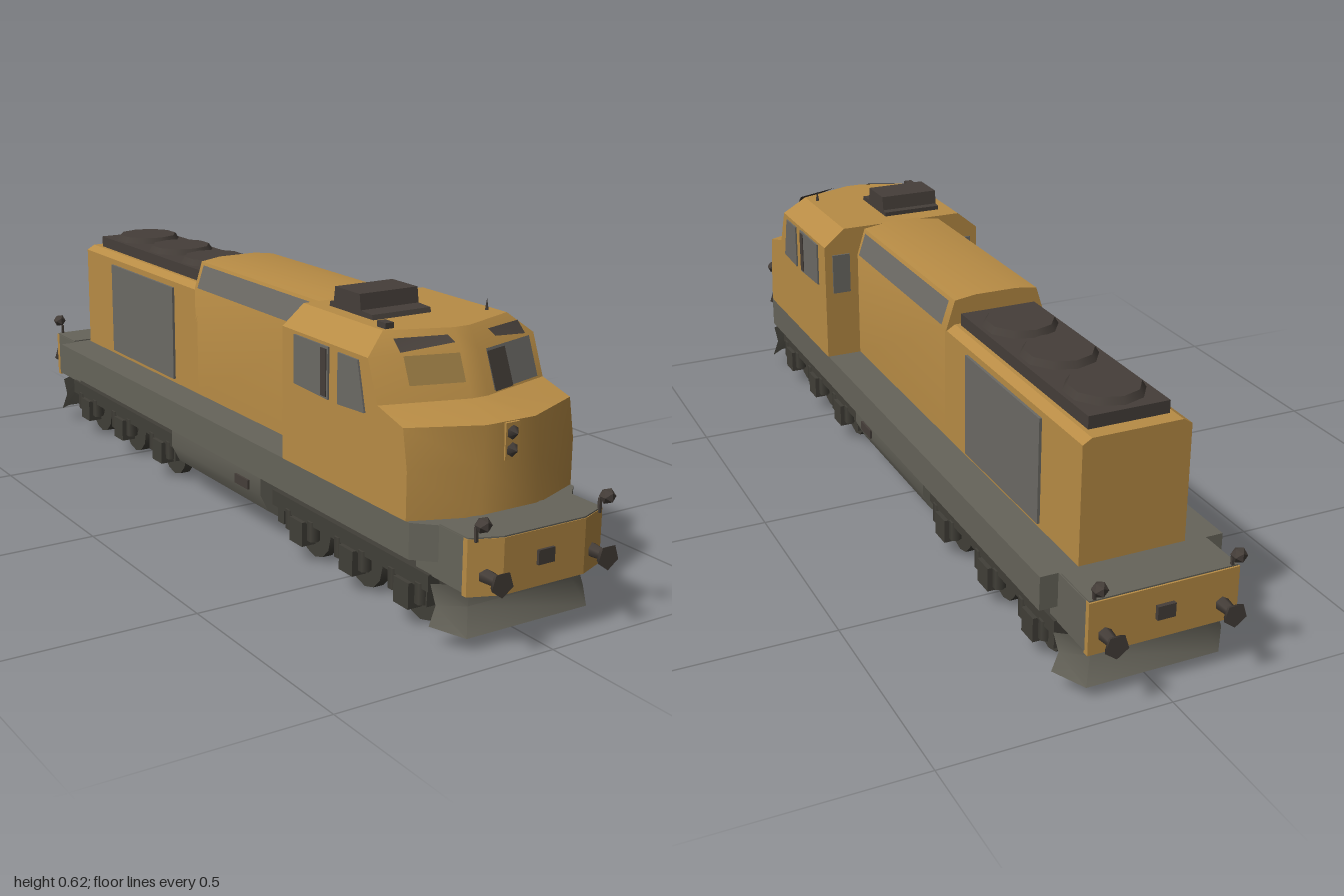
import * as THREE from 'three';
import { toCreasedNormals } from 'three/addons/utils/BufferGeometryUtils.js';

const mat = (name, color) => new THREE.MeshStandardMaterial({ name, color, side: THREE.DoubleSide });

export function createModel() {
  const root = new THREE.Group();
  root.name = 'locomotive';
  const ochre = mat('ochre body', 0xb88c45);
  const dullOchre = mat('dull ochre', 0x987a42);
  const grey = mat('frame grey', 0x66645a);
  const grilleGrey = mat('grille grey', 0x6c6a65);
  const dark = mat('dark roof metal', 0x453e39);
  const under = mat('running gear', 0x413f38);

  const add = (name, geo, m, x = 0, y = 0, z = 0, parent = root) => {
    const mesh = new THREE.Mesh(geo, m);
    mesh.name = name;
    mesh.position.set(x, y, z);
    parent.add(mesh);
    return mesh;
  };
  const box = (name, w, h, d, m, x, y, z, parent) => add(name, new THREE.BoxGeometry(w, h, d), m, x, y, z, parent);
  const shapeOf = pts => new THREE.Shape(pts.map(p => new THREE.Vector2(p[0], p[1])));
  const mirrorX = half => [...half, ...half.map(([x, y]) => [-x, y]).reverse()];
  const extrude = (pts, depth) => new THREE.ExtrudeGeometry(shapeOf(pts), { depth, bevelEnabled: false });
  // Section in x,y drawn out from z0 to z1
  const along = (name, half, z0, z1, m) =>
    add(name, toCreasedNormals(extrude(mirrorX(half), z1 - z0), 0.5), m, 0, 0, z0);
  // Plan in x,z raised from y0 to y1
  const plan = (name, half, y0, y1, m) => {
    const geo = extrude(mirrorX(half).map(([x, z]) => [x, -z]), y1 - y0);
    geo.rotateX(-Math.PI / 2);
    return add(name, geo, m, 0, y0, 0);
  };
  // Surface through rows of points, optionally capped on the last row
  const loft = (rows, cap = false, crease = 0.45) => {
    const v = [];
    const tri = (...p) => p.forEach(q => v.push(...q));
    for (let i = 0; i < rows.length - 1; i++) {
      for (let j = 0; j < rows[i].length - 1; j++) {
        const a = rows[i][j], b = rows[i][j + 1], c = rows[i + 1][j + 1], d = rows[i + 1][j];
        tri(a, d, c);
        tri(a, c, b);
      }
    }
    const top = rows[rows.length - 1];
    if (cap) for (let j = 1; j < top.length - 1; j++) tri(top[0], top[j + 1], top[j]);
    const geo = new THREE.BufferGeometry();
    geo.setAttribute('position', new THREE.Float32BufferAttribute(v, 3));
    geo.computeVertexNormals();
    return toCreasedNormals(geo, crease);
  };

  // Cab: plan outlines stacked by height [y, half width, corner z, inner x, centre z]
  const levels = [
    [0.24, 0.207, 0.80, 0.07, 0.855],
    [0.34, 0.207, 0.80, 0.07, 0.855],
    [0.422, 0.207, 0.785, 0.06, 0.852],
    [0.445, 0.207, 0.70, 0.02, 0.755],
    [0.532, 0.207, 0.665, 0.02, 0.72],
    [0.575, 0.155, 0.64, 0.02, 0.69],
  ];
  const cabRows = levels.map(([y, w, zc, xi, zm]) => [
    [0, y, 0.35], [w, y, 0.35], [w, y, zc], [xi, y, zm],
    [-xi, y, zm], [-w, y, zc], [-w, y, 0.35], [0, y, 0.35],
  ]);
  add('cab', loft(cabRows, true), ochre);

  // Plates on a front facet of the cab, placed by fractions of width and height
  const facetPlate = (name, level, side, [u0, u1], [v0, v1], m, skew = 0) => {
    const [lo, hi] = [levels[level], levels[level + 1]];
    const at = (u, v) => {
      const edge = ([y, w, zc, xi, zm]) => new THREE.Vector3(side * (w + (xi - w) * u), y, zc + (zm - zc) * u);
      const p = edge(lo).lerp(edge(hi), v);
      return [p.x + side * 0.002, p.y + 0.002, p.z + 0.006];
    };
    add(name, loft([[at(u0, v0), at(u1, v0)], [at(u0, v1 - skew), at(u1, v1)]]), m);
  };
  facetPlate('leftWindshield', 3, 1, [0.14, 0.92], [0.06, 0.97], grilleGrey);
  facetPlate('rightWindshield', 3, -1, [0.36, 0.96], [0.35, 0.98], dullOchre);
  const shade = loft([[[0.092, 0.453, 0.745], [0.034, 0.453, 0.762]], [[0.092, 0.528, 0.713], [0.034, 0.528, 0.73]]]);
  add('windshieldShade', shade, dark);

  for (const s of [-1, 1]) {
    // Dark brow visors over the windshield
    const visor = loft([
      [[s * 0.155, 0.543, 0.70], [s * 0.05, 0.558, 0.735]],
      [[s * 0.155, 0.566, 0.675], [s * 0.05, 0.568, 0.71]],
    ]);
    add('browVisor', visor, dark);

    // Cab side and rear windows
    const windows = [
      [[0.66, 0.42], [0.565, 0.415], [0.565, 0.522], [0.635, 0.522]],
      [[0.53, 0.415], [0.40, 0.42], [0.40, 0.525], [0.53, 0.525]],
    ];
    for (const w of windows) {
      const geo = extrude(w.map(([z, y]) => [-z, y]), 0.005);
      geo.rotateY(Math.PI / 2);
      add('sideWindow', geo, grilleGrey, s > 0 ? 0.206 : -0.211);
    }
    box('windowPillar', 0.006, 0.10, 0.02, dark, s * 0.21, 0.47, 0.515);
    box('rearCabWindow', 0.045, 0.10, 0.006, grilleGrey, s * 0.165, 0.46, 0.349);

    // Hood side grilles
    box('radiatorGrille', 0.008, 0.235, 0.35, grilleGrey, s * 0.122, 0.368, -0.485);
    const slope = loft([
      [[s * 0.124, 0.508, 0.33], [s * 0.124, 0.508, -0.18]],
      [[s * 0.106, 0.562, 0.33], [s * 0.106, 0.562, -0.18]],
    ]);
    add('roofSideGrille', slope, grilleGrey);
  }

  // Nose headlights
  box('headlightPanel', 0.034, 0.075, 0.012, ochre, 0, 0.383, 0.852);
  for (const y of [0.365, 0.40]) {
    const lamp = add('headlight', new THREE.ConeGeometry(0.017, 0.016, 6), dark, 0, y, 0.864);
    lamp.rotation.x = Math.PI / 2;
  }

  // Cab roof equipment
  const unit = extrude([[0.40, 0.573], [0.56, 0.573], [0.555, 0.585], [0.515, 0.587],
    [0.51, 0.62], [0.42, 0.62], [0.415, 0.587], [0.40, 0.585]].map(([z, y]) => [-z, y]), 0.145);
  unit.rotateY(Math.PI / 2);
  add('roofUnit', unit, dark, -0.122);
  box('horn', 0.02, 0.014, 0.03, dark, -0.135, 0.58, 0.62);
  add('antenna', new THREE.ConeGeometry(0.005, 0.025, 4), dark, 0.135, 0.587, 0.60);

  // Hood in two heights
  along('frontHood', [[0.12, 0.24], [0.12, 0.505], [0.10, 0.568], [0.05, 0.575]], -0.20, 0.36, ochre);
  along('rearHood', [[0.12, 0.24], [0.12, 0.50], [0.10, 0.512]], -0.825, -0.19, ochre);

  // Radiator fans
  box('fanDeck', 0.18, 0.035, 0.58, dark, 0, 0.522, -0.50);
  for (const z of [-0.69, -0.50, -0.32]) {
    add('fan', new THREE.CylinderGeometry(0.075, 0.085, 0.016, 10), dark, 0, 0.546, z);
  }

  // Frame, end platforms and bumpers
  box('frame', 0.412, 0.075, 1.62, grey, 0, 0.2025, -0.02);
  plan('frontFrameCorner', [[0.206, 0.78], [0.206, 0.81], [0.165, 0.85]], 0.165, 0.24, grey);
  plan('frontPlatform', [[0.165, 0.78], [0.165, 0.93]], 0.13, 0.24, grey);
  plan('frontBumper', [[0.166, 0.925], [0.166, 0.938], [0.10, 0.965]], 0.125, 0.24, ochre);
  plan('frontDeck', [[0.164, 0.85], [0.164, 0.938], [0.10, 0.963]], 0.24, 0.243, grey);
  plan('rearPlatform', [[0.166, -0.80], [0.166, -0.94]], 0.13, 0.24, grey);
  plan('rearBumper', [[0.166, -0.938], [0.166, -0.952]], 0.125, 0.24, ochre);
  box('rearDeck', 0.328, 0.003, 0.11, grey, 0, 0.2415, -0.893);

  // Plough, buffers, coupler and marker lamps at each end
  for (const s of [1, -1]) {
    const end = new THREE.Group();
    end.name = s > 0 ? 'frontEndGear' : 'rearEndGear';
    if (s < 0) end.rotation.y = Math.PI;
    root.add(end);
    const rows = [
      [[0.195, 0.045, 0.865], [0.15, 0.032, 0.925], [-0.15, 0.032, 0.925], [-0.195, 0.045, 0.865]],
      [[0.18, 0.085, 0.865], [0.13, 0.085, 0.90], [-0.13, 0.085, 0.90], [-0.18, 0.085, 0.865]],
      [[0.19, 0.13, 0.86], [0.13, 0.13, 0.905], [-0.13, 0.13, 0.905], [-0.19, 0.13, 0.86]],
    ];
    add('plough', loft(rows, false, 0.8), grey, 0, 0, 0, end);
    box('coupler', 0.04, 0.03, 0.012, dark, 0, 0.185, 0.955 + (s > 0 ? 0.01 : 0), end);
    for (const x of [-0.13, 0.13]) {
      const stem = add('bufferStem', new THREE.CylinderGeometry(0.011, 0.016, 0.045, 6), dark, x, 0.165, 0.97, end);
      stem.rotation.x = Math.PI / 2;
      const head = add('bufferHead', new THREE.CylinderGeometry(0.027, 0.02, 0.012, 5), dark, x, 0.165, 0.994, end);
      head.rotation.x = Math.PI / 2;
      const lx = Math.sign(x) * 0.152;
      add('markerLamp', new THREE.IcosahedronGeometry(0.017, 0), dark, lx, 0.275, 0.965, end);
      box('lampPost', 0.006, 0.03, 0.006, dark, lx, 0.25, 0.945, end);
    }
  }

  // Fuel tank with rounded lower sides
  along('fuelTank', [[0.06, 0.03], [0.12, 0.04], [0.165, 0.07], [0.185, 0.11], [0.185, 0.166]], -0.21, 0.22, grey);
  for (const s of [-1, 1]) box('fuelFiller', 0.012, 0.022, 0.06, dark, s * 0.184, 0.122, 0.14);

  // Three-axle bogies
  const bogie = (name, axles, z0, z1) => {
    const g = new THREE.Group();
    g.name = name;
    root.add(g);
    const mid = (z0 + z1) / 2, len = z1 - z0;
    box('bogieBolster', 0.20, 0.045, len * 0.9, under, 0, 0.135, mid, g);
    for (const s of [-1, 1]) {
      box('sideFrame', 0.025, 0.035, len, under, s * 0.16, 0.115, mid, g);
      for (const z of [z0 + 0.025, z1 - 0.025]) box('brakeHanger', 0.03, 0.05, 0.025, under, s * 0.15, 0.085, z, g);
    }
    for (const z of axles) {
      const axle = add('axle', new THREE.CylinderGeometry(0.018, 0.018, 0.30, 6), under, 0, 0.066, z, g);
      axle.rotation.z = Math.PI / 2;
      box('tractionMotor', 0.15, 0.06, 0.09, under, 0, 0.085, z + 0.04, g);
      for (const s of [-1, 1]) {
        const wheel = add('wheel', new THREE.CylinderGeometry(0.062, 0.062, 0.025, 12), under, s * 0.12, 0.066, z, g);
        wheel.rotation.z = Math.PI / 2;
        box('axleBox', 0.035, 0.055, 0.05, under, s * 0.165, 0.072, z, g);
        for (const d of [-0.045, 0.045]) {
          add('spring', new THREE.CylinderGeometry(0.014, 0.014, 0.045, 6), under, s * 0.165, 0.085, z + d, g);
        }
      }
    }
  };
  bogie('frontBogie', [0.755, 0.56, 0.365], 0.25, 0.83);
  bogie('rearBogie', [-0.30, -0.525, -0.735], -0.83, -0.22);
  return root;
}
